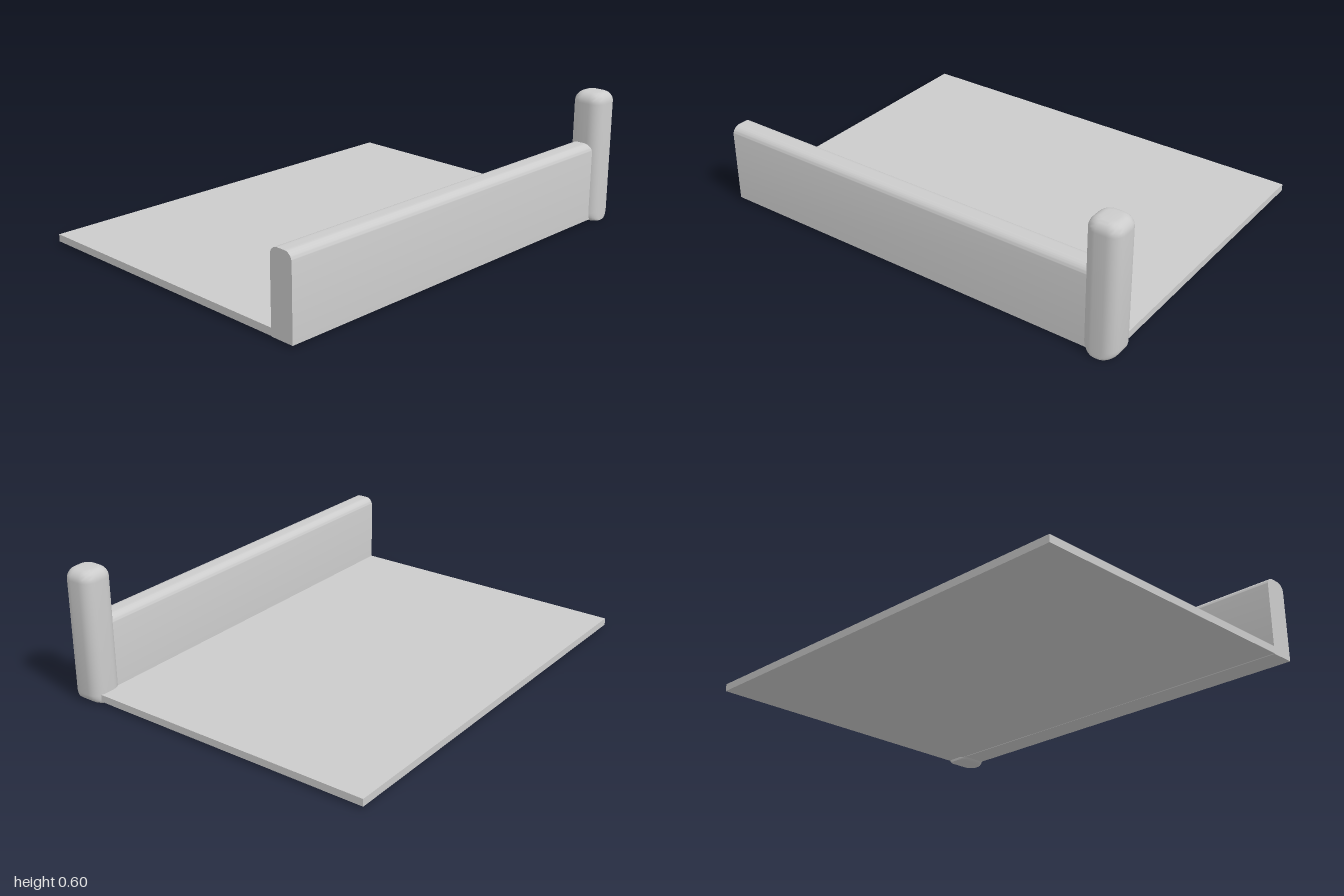
import * as THREE from 'three';
import { toCreasedNormals } from 'three/addons/utils/BufferGeometryUtils.js';

const grey = new THREE.MeshStandardMaterial({ color: 0xcccccc });

function addMesh(group, name, geometry, x, y, z) {
  const mesh = new THREE.Mesh(geometry, grey);
  mesh.name = name;
  mesh.position.set(x, y, z);
  group.add(mesh);
}

// Upright with rounded corners: rings of [half width x, half depth z, y], capped at both ends
function postGeometry(rings, steps = 8) {
  const positions = [], index = [], n = steps * 4;
  const addRing = (a, b, y) => {
    const r = Math.min(a, b) * 0.7;
    for (let c = 0; c < 4; c++) {
      const sx = c === 0 || c === 3 ? 1 : -1, sz = c < 2 ? 1 : -1;
      for (let i = 0; i < steps; i++) {
        const t = (c + i / (steps - 1)) * Math.PI / 2;
        positions.push(sx * (a - r) + r * Math.cos(t), y, sz * (b - r) + r * Math.sin(t));
      }
    }
  };
  rings.forEach(ring => addRing(...ring));
  for (let k = 0; k < rings.length - 1; k++) {
    for (let i = 0; i < n; i++) {
      const p = k * n + i, q = k * n + (i + 1) % n;
      index.push(p, p + n, q, q, p + n, q + n);
    }
  }
  const last = (rings.length - 1) * n, centre = positions.length / 3;
  positions.push(0, rings[0][2], 0, 0, rings[rings.length - 1][2], 0);
  for (let i = 0; i < n; i++) {
    const j = (i + 1) % n;
    index.push(centre, i, j, centre + 1, last + j, last + i);
  }
  const geometry = new THREE.BufferGeometry();
  geometry.setAttribute('position', new THREE.Float32BufferAttribute(positions, 3));
  geometry.setIndex(index);
  return toCreasedNormals(geometry, 0.7);
}

export function createModel() {
  const group = new THREE.Group();

  // Thin flat floor
  addMesh(group, 'floor', new THREE.BoxGeometry(1.97, 0.033, 1.385), -0.015, 0.0285, -0.0625);

  // Front wall: profile with a rounded top, extruded along x into the post
  const h = 0.057, top = 0.36, r = 0.038;
  const profile = new THREE.Shape();
  profile.moveTo(-h, 0);
  profile.lineTo(h, 0);
  profile.lineTo(h, top - r);
  profile.absarc(h - r, top - r, r, 0, Math.PI / 2, false);
  profile.absarc(r - h, top - r, r, Math.PI / 2, Math.PI, false);
  profile.closePath();
  const wall = new THREE.ExtrudeGeometry(profile, { depth: 1.88, bevelEnabled: false, curveSegments: 8 });
  wall.rotateY(Math.PI / 2);
  addMesh(group, 'frontWall', toCreasedNormals(wall, 0.6), -1, 0.01, 0.674);

  // Corner post: bottom rounded only across its width, top rounded all round
  const rings = [];
  for (let i = 0; i <= 6; i++) {
    const t = i / 6 * Math.PI / 2;
    rings.push([0.035 + 0.041 * Math.sin(t), 0.075, 0.041 * (1 - Math.cos(t))]);
  }
  for (let i = 0; i <= 8; i++) {
    const t = i / 8 * Math.PI / 2;
    rings.push([0.031 + 0.045 * Math.cos(t), 0.035 + 0.04 * Math.cos(t), 0.553 + 0.047 * Math.sin(t)]);
  }
  addMesh(group, 'cornerPost', postGeometry(rings), 0.924, 0, 0.68);

  return group;
}
